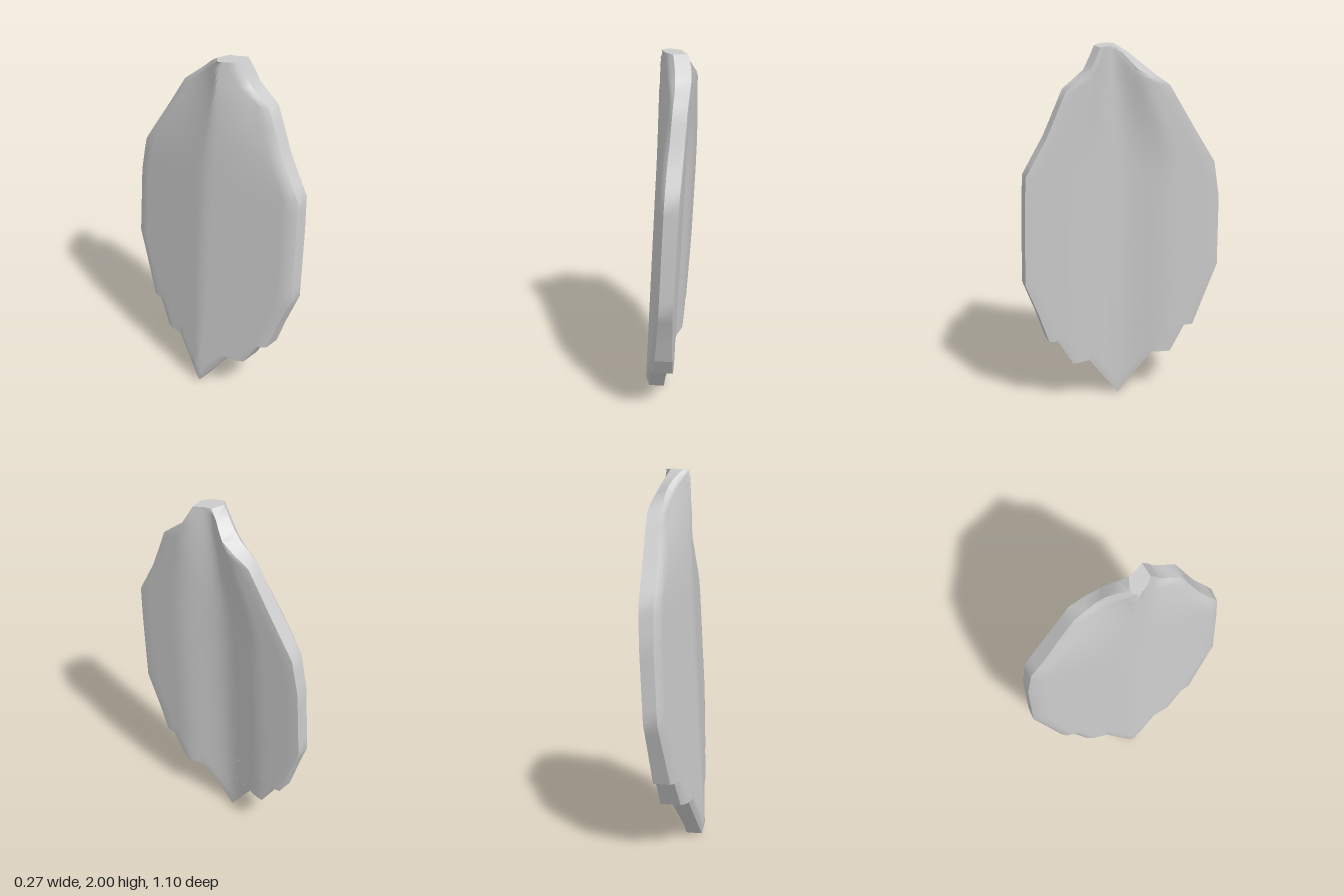
import * as THREE from 'three';
import { toCreasedNormals } from 'three/addons/utils/BufferGeometryUtils.js';

// Outline rows from tip to top: [y, zMin, zMax, inner face zMin, inner face zMax]
const ROWS = [
  [0, 0, 0], [0.25, -0.185, 0.185], [0.25, -0.285, 0.285],
  [0.4, -0.365, 0.375], [0.4, -0.415, 0.42], [0.56, -0.475, 0.475],
  [0.75, -0.548, 0.55], [1.15, -0.54, 0.549], [1.35, -0.505, 0.543],
  [1.55, -0.38, 0.43], [1.79, -0.235, 0.328],
  [1.88, -0.125, 0.215, -0.06, 0.205], [1.96, -0.03, 0.17, 0.01, 0.16],
  [2, 0.03, 0.15, 0.055, 0.14],
];
const COLS = 24;
const { lerp, smoothstep, clamp } = THREE.MathUtils;

// Channelled cross-section: wide at the base, pinched and drifting to +z at the top
function faceX(y, z, inner) {
  const k = smoothstep(y, 1.3, 2);
  const d = Math.abs(z - 0.06 * k);
  if (inner) return -0.03 + 0.067 * smoothstep(d, 0, lerp(0.3, 0.14, k)) + 0.051 * y;
  return -0.14 + 0.08 * clamp(d / lerp(0.54, 0.14, k), 0, 1) + 0.05 * y;
}

// Closed loop around the plate: outer face towards +z, inner face back again
function section([y, z0, z1, i0 = z0, i1 = z1]) {
  const loop = [];
  for (const inner of [false, true]) {
    const side = [];
    const a = inner ? i0 : z0, b = inner ? i1 : z1;
    for (let j = 0; j <= COLS; j++) {
      const t = j === 0 ? 0 : j === COLS ? 1 : 0.03 + 0.94 * (j - 1) / (COLS - 2);
      const z = lerp(a, b, t);
      const bevel = Math.max(0, 1 - Math.min(z - a, b - z) / 0.03);
      side.push([faceX(y, z, inner) + bevel * (inner ? -0.004 : 0.02), y, z]);
    }
    loop.push(...(inner ? side.reverse() : side));
  }
  return loop;
}

function plateGeometry() {
  // Subdivide the tall rows so the channel bends smoothly
  const rows = [];
  ROWS.forEach((r, i) => {
    const full = [r[0], r[1], r[2], r[3] ?? r[1], r[4] ?? r[2]];
    if (i > 0) {
      const prev = rows[rows.length - 1];
      const steps = Math.max(1, Math.ceil((full[0] - prev[0]) / 0.08));
      for (let s = 1; s < steps; s++) rows.push(prev.map((v, n) => lerp(v, full[n], s / steps)));
    }
    rows.push(full);
  });

  const n = 2 * (COLS + 1);
  const positions = rows.flatMap(section).flat();
  const index = [];
  const quad = (a, b, c, d) => index.push(a, b, c, a, c, d);
  for (let i = 0; i < rows.length - 1; i++) {
    for (let j = 0; j < n; j++) {
      const k = (j + 1) % n;
      quad(i * n + j, i * n + k, (i + 1) * n + k, (i + 1) * n + j);
    }
  }
  // Top cap
  const top = (rows.length - 1) * n;
  for (let j = 0; j < COLS; j++) quad(top + j, top + j + 1, top + n - 2 - j, top + n - 1 - j);

  const geometry = new THREE.BufferGeometry();
  geometry.setAttribute('position', new THREE.Float32BufferAttribute(positions, 3));
  geometry.setIndex(index);
  return toCreasedNormals(geometry, 0.6);
}

export function createModel() {
  const group = new THREE.Group();
  group.name = 'leafPlate';
  const plate = new THREE.Mesh(plateGeometry(), new THREE.MeshStandardMaterial({ color: 0xcccccc }));
  plate.name = 'plate';
  group.add(plate);
  return group;
}
